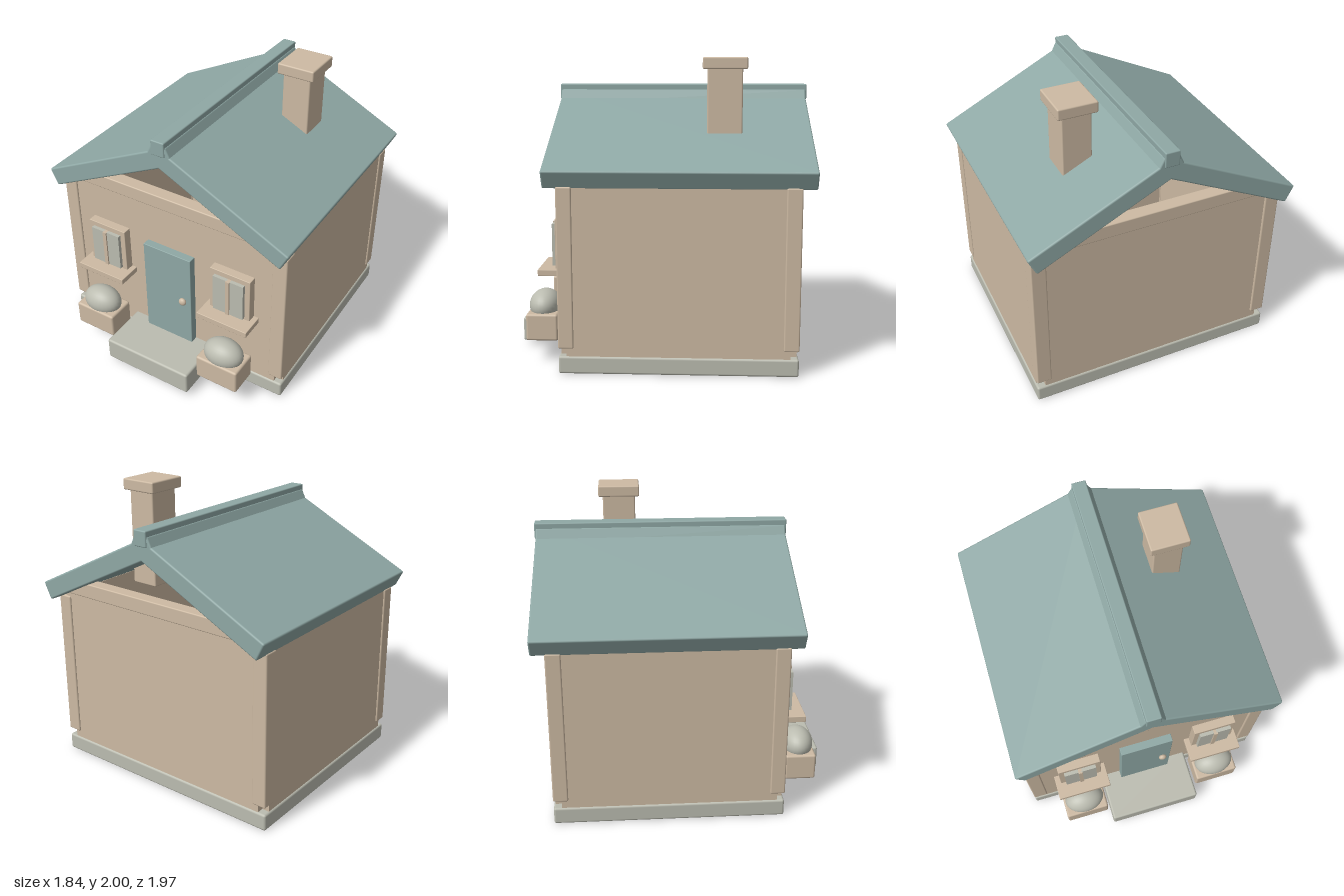
import * as THREE from 'three';
import { RoundedBoxGeometry } from 'three/addons/geometries/RoundedBoxGeometry.js';

const beige = new THREE.MeshStandardMaterial({ name: 'beige plaster', color: 0xcdbaa3 });
const teal = new THREE.MeshStandardMaterial({ name: 'teal paint', color: 0x8fa8a5 });
const stone = new THREE.MeshStandardMaterial({ name: 'grey stone', color: 0xbbbcb0 });

export function createModel() {
  const house = new THREE.Group();
  house.name = 'house';

  // Softened box given by its extents on each axis
  function block(name, mat, [x0, x1], [y0, y1], [z0, z1], radius = 0.01, parent = house) {
    const w = x1 - x0, h = y1 - y0, d = z1 - z0;
    const geo = radius > 0
      ? new RoundedBoxGeometry(w, h, d, 2, radius)
      : new THREE.BoxGeometry(w, h, d);
    const mesh = new THREE.Mesh(geo, mat);
    mesh.name = name;
    mesh.position.set((x0 + x1) / 2, (y0 + y1) / 2, (z0 + z1) / 2);
    parent.add(mesh);
    return mesh;
  }

  function ball(name, mat, pos, scale, parent = house) {
    const mesh = new THREE.Mesh(new THREE.SphereGeometry(1, 28, 18), mat);
    mesh.name = name;
    mesh.position.set(...pos);
    mesh.scale.set(...scale);
    parent.add(mesh);
  }

  // Base and doorstep
  block('foundation', stone, [-0.88, 0.88], [0, 0.115], [-0.885, 0.64], 0.015);
  block('doorstep', stone, [-0.335, 0.335], [0.035, 0.2], [0.6, 0.98], 0.015);

  // Hollow shell: front and back walls with tie beams under the open gables
  block('frontWall', beige, [-0.82, 0.82], [0.11, 1.235], [0.55, 0.63], 0);
  block('backWall', beige, [-0.82, 0.82], [0.11, 1.235], [-0.875, -0.795], 0);
  block('frontBeam', beige, [-0.83, 0.83], [1.23, 1.33], [0.545, 0.64], 0.008);
  block('backBeam', beige, [-0.83, 0.83], [1.23, 1.33], [-0.885, -0.79], 0.008);

  for (const s of [-1, 1]) {
    const span = (a, b) => (s > 0 ? [a, b] : [-b, -a]);

    // Side walls and corner posts
    block('sideWall', beige, span(0.785, 0.87), [0.11, 1.23], [-0.83, 0.59], 0);
    block('frontPost', beige, span(0.777, 0.88), [0.165, 1.205], [0.543, 0.642]);
    block('backPost', beige, span(0.777, 0.88), [0.165, 1.205], [-0.887, -0.787]);

    // Roof slope, running a little past the ridge
    const slope = new THREE.Mesh(new RoundedBoxGeometry(1.088, 0.128, 1.705, 2, 0.012), teal);
    slope.name = 'roofSlope';
    slope.position.set(s * 0.409, 1.489, -0.125);
    slope.rotation.z = -s * 0.459;
    house.add(slope);

    // Window with frame, glass, mullion and sill
    const win = new THREE.Group();
    win.name = 'window';
    win.position.x = s * 0.497;
    house.add(win);
    block('windowFrame', beige, [-0.152, 0.152], [0.62, 0.96], [0.62, 0.69], 0.004, win);
    block('windowGlass', stone, [-0.114, 0.114], [0.645, 0.922], [0.68, 0.715], 0, win);
    block('windowMullion', beige, [-0.014, 0.014], [0.645, 0.922], [0.68, 0.725], 0, win);
    block('windowSill', beige, [-0.19, 0.19], [0.59, 0.632], [0.62, 0.8], 0.004, win);

    // Planter with a rounded bush
    const planter = new THREE.Group();
    planter.name = 'planter';
    planter.position.x = s * 0.512;
    house.add(planter);
    block('planterBox', beige, [-0.158, 0.158], [0.145, 0.325], [0.68, 0.89], 0.015, planter);
    ball('bush', stone, [0, 0.355, 0.785], [0.145, 0.105, 0.105], planter);
  }

  // Ridge cap
  block('ridgeCap', teal, [-0.05, 0.05], [1.715, 1.82], [-0.985, 0.735], 0.008);

  // Chimney
  block('chimneyStack', beige, [0.312, 0.512], [1.27, 1.935], [-0.525, -0.295]);
  block('chimneyCap', beige, [0.28, 0.545], [1.923, 2.0], [-0.555, -0.265]);

  // Door and knob
  block('door', teal, [-0.19, 0.187], [0.19, 0.93], [0.61, 0.685], 0.004);
  ball('doorKnob', beige, [0.126, 0.56, 0.697], [0.028, 0.028, 0.02]);

  return house;
}
